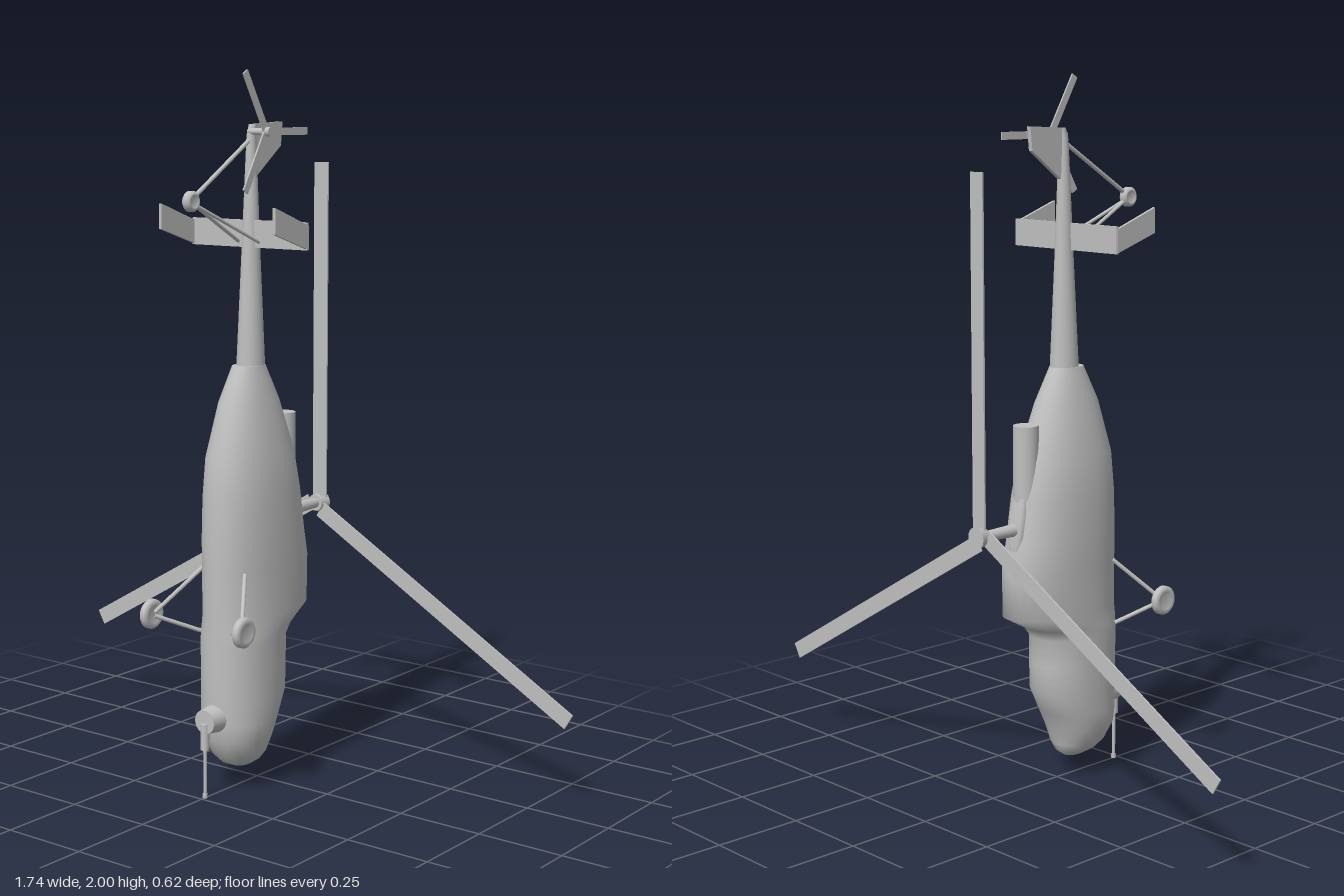
import * as THREE from 'three';

const grey = new THREE.MeshStandardMaterial({ color: 0xbfbfbf });
grey.name = 'airframe grey';

function add(parent, name, geometry, x = 0, y = 0, z = 0) {
  const mesh = new THREE.Mesh(geometry, grey);
  mesh.name = name;
  mesh.position.set(x, y, z);
  parent.add(mesh);
  return mesh;
}

// Cylinder running from point a to point b
function rod(parent, name, a, b, ra, rb = ra, sides = 16) {
  const p = new THREE.Vector3(...a), q = new THREE.Vector3(...b);
  const dir = q.clone().sub(p);
  const mesh = add(parent, name, new THREE.CylinderGeometry(rb, ra, dir.length(), sides));
  mesh.position.copy(p).add(q).multiplyScalar(0.5);
  mesh.quaternion.setFromUnitVectors(new THREE.Vector3(0, 1, 0), dir.normalize());
  return mesh;
}

// Rounded hull through rings of [y, back z, front z, half width]
function loft(rings, power, sides = 32) {
  const pos = [], idx = [];
  const addRing = ([y, back, front, w]) => {
    const start = pos.length / 3;
    for (let j = 0; j < sides; j++) {
      const a = (j / sides) * Math.PI * 2;
      const c = Math.cos(a), s = Math.sin(a);
      pos.push(
        w * Math.sign(c) * Math.abs(c) ** (2 / power), y,
        (back + front) / 2 + ((front - back) / 2) * Math.sign(s) * Math.abs(s) ** (2 / power));
    }
    return start;
  };
  const starts = rings.map(addRing);
  for (let i = 0; i + 1 < rings.length; i++) {
    for (let j = 0; j < sides; j++) {
      const k = (j + 1) % sides, a = starts[i], b = starts[i + 1];
      idx.push(a + j, b + j, b + k, a + j, b + k, a + k);
    }
  }
  // flat end caps with their own vertices
  [rings[0], rings[rings.length - 1]].forEach((ring, end) => {
    const s = addRing(ring);
    for (let j = 1; j + 1 < sides; j++) {
      idx.push(s, s + (end ? j + 1 : j), s + (end ? j : j + 1));
    }
  });
  const geo = new THREE.BufferGeometry();
  geo.setAttribute('position', new THREE.Float32BufferAttribute(pos, 3));
  geo.setIndex(idx);
  geo.computeVertexNormals();
  return geo;
}

// Flat plate in the y-z plane from [z, y] corners, centred on x = 0
function sidePlate(points, thickness) {
  const shape = new THREE.Shape(points.map(([z, y]) => new THREE.Vector2(-z, y)));
  return new THREE.ExtrudeGeometry(shape, { depth: thickness, bevelEnabled: false })
    .translate(0, 0, -thickness / 2).rotateY(Math.PI / 2);
}

function wheel(parent, name, x, y, z, r, width) {
  const e = width / 2, b = width * 0.25;
  const profile = [[0, -e * 0.7], [r * 0.5, -e * 0.7], [r * 0.6, -e], [r - b, -e], [r, -e + b],
    [r, e - b], [r - b, e], [r * 0.6, e], [r * 0.5, e * 0.7], [0, e * 0.7]];
  const geo = new THREE.LatheGeometry(profile.map((p) => new THREE.Vector2(...p)), 24);
  add(parent, name, geo.rotateZ(Math.PI / 2), x, y, z);
}

export function createModel() {
  const model = new THREE.Group();
  model.name = 'helicopter';

  // Hull, nose down, belly towards the front
  add(model, 'fuselage', loft([
    [0.06, 0.03, 0.105, 0.025], [0.075, 0.01, 0.14, 0.048], [0.1, -0.0, 0.165, 0.07],
    [0.15, -0.012, 0.19, 0.092], [0.2, -0.037, 0.197, 0.098], [0.27, -0.073, 0.2, 0.1],
    [0.35, -0.075, 0.2, 0.101], [0.43, -0.075, 0.2, 0.102], [0.46, -0.1, 0.2, 0.103],
    [0.505, -0.183, 0.2, 0.104], [0.64, -0.185, 0.2, 0.105], [0.72, -0.167, 0.2, 0.105],
    [0.84, -0.147, 0.195, 0.103], [0.95, -0.122, 0.185, 0.095], [1.1, -0.066, 0.14, 0.067],
    [1.2, -0.015, 0.09, 0.04],
  ], 2.2));
  add(model, 'tailBoom', loft([
    [1.19, -0.015, 0.073, 0.038], [1.5, 0, 0.056, 0.026], [1.83, 0.012, 0.04, 0.013],
    [1.86, 0.01, 0.03, 0.011],
  ], 2));

  // Exhaust and rotor pylon on the back
  add(model, 'exhaust', new THREE.CylinderGeometry(0.036, 0.036, 0.27, 24), 0, 0.915, -0.119);
  add(model, 'pylon', loft([
    [0.7, -0.172, -0.1, 0.02], [0.74, -0.172, -0.1, 0.03], [0.8, -0.163, -0.1, 0.03], [0.85, -0.152, -0.1, 0.025],
  ], 4));

  // Main rotor
  const rotor = new THREE.Group();
  rotor.name = 'mainRotor';
  rotor.position.set(0, 0.76, -0.285);
  model.add(rotor);
  rod(rotor, 'mast', [0, 0, 0.15], [0, 0, 0], 0.019, 0.014);
  rod(rotor, 'hub', [0, 0, 0.01], [0, 0, -0.022], 0.024, 0.031, 20);
  for (let i = 0; i < 3; i++) {
    const blade = add(rotor, 'rotorBlade',
      new THREE.BoxGeometry(0.048, 0.97, 0.005).translate(0.01, 0.505, 0));
    blade.rotation.z = (i * Math.PI * 2) / 3;
  }

  // Tail fin and stabilizer with end plates
  add(model, 'tailFin', sidePlate([[0.02, 1.86], [-0.105, 1.866], [-0.098, 1.8], [0.01, 1.72]], 0.014));
  add(model, 'stabilizer', new THREE.BoxGeometry(0.4, 0.075, 0.008), 0, 1.563, 0.035);
  for (const x of [-0.197, 0.197]) {
    add(model, 'endPlate',
      sidePlate([[0.18, 1.645], [0.032, 1.592], [0.032, 1.527], [0.18, 1.575]], 0.009), x);
  }

  // Tail rotor
  const tailRotor = new THREE.Group();
  tailRotor.name = 'tailRotor';
  tailRotor.position.set(0.055, 1.84, 0.03);
  model.add(tailRotor);
  rod(tailRotor, 'tailShaft', [-0.06, 0, 0], [0, 0, 0], 0.009);
  rod(tailRotor, 'tailHub', [-0.012, 0, 0], [0.016, 0, 0], 0.013);
  for (let i = 0; i < 3; i++) {
    const blade = add(tailRotor, 'tailRotorBlade',
      new THREE.BoxGeometry(0.005, 0.18, 0.021).translate(0, 0.094, 0));
    blade.rotation.x = Math.PI / 6 + (i * Math.PI * 2) / 3;
  }

  // Tail wheel on three struts
  wheel(model, 'tailWheel', 0, 1.66, 0.283, 0.028, 0.026);
  rod(model, 'tailStrut', [0, 1.82, 0.03], [0, 1.665, 0.28], 0.006);
  for (const s of [-1, 1]) {
    rod(model, 'tailStrut', [s * 0.036, 1.54, 0.035], [0, 1.655, 0.278], 0.005);
  }

  // Main landing gear
  for (const s of [-1, 1]) {
    wheel(model, 'mainWheel', s * 0.164, 0.51, 0.268, 0.042, 0.025);
    rod(model, 'gearStrut', [s * 0.075, 0.635, 0.15], [s * 0.155, 0.515, 0.265], 0.006);
    rod(model, 'gearStrut', [s * 0.085, 0.45, 0.15], [s * 0.155, 0.505, 0.265], 0.006);
  }

  // Nose turret and gun
  rod(model, 'noseTurret', [0, 0.22, 0.175], [0, 0.22, 0.237], 0.042, 0.034, 24);
  rod(model, 'gunMount', [0, 0.215, 0.235], [0, 0.14, 0.235], 0.012);
  rod(model, 'gunBarrel', [0, 0.15, 0.235], [0, 0, 0.235], 0.005);
  rod(model, 'gunMuzzle', [0, 0.012, 0.235], [0, 0, 0.235], 0.007);
  return model;
}
